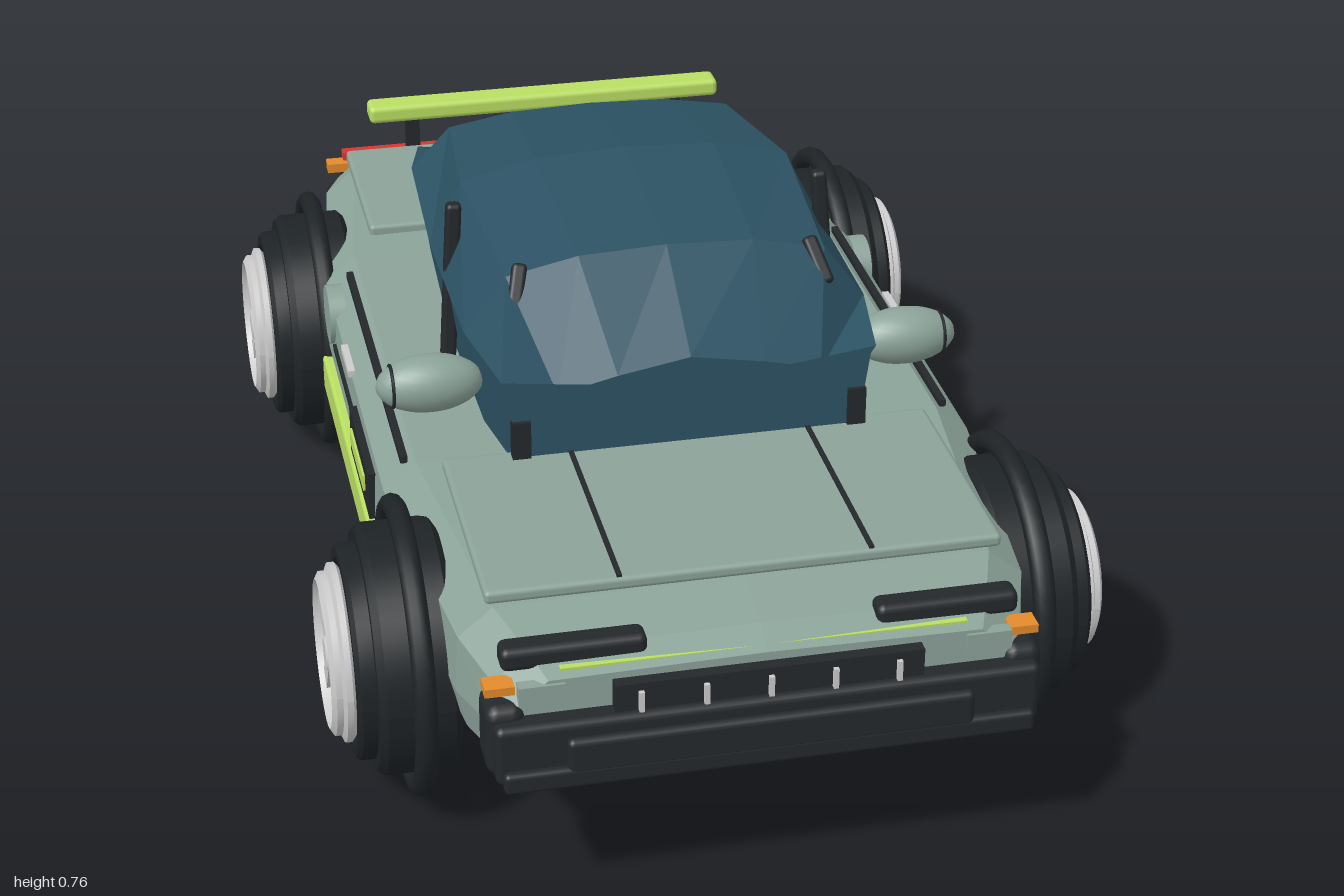
import * as THREE from 'three';
import { RoundedBoxGeometry } from 'three/addons/geometries/RoundedBoxGeometry.js';

const mat = (color, flatShading = false) => new THREE.MeshStandardMaterial({ color, flatShading });
const PAINT = mat(0x8ba399), FLAT_PAINT = mat(0x8ba399, true), GLASS = mat(0x2c5263, true);
const DARK = mat(0x24282b), TYRE = mat(0x1e2326), LIME = mat(0xb9dd62);
const RED = mat(0xd9362f), ORANGE = mat(0xe38a2c), SILVER = mat(0xcccccc);

export function createModel() {
  const car = new THREE.Group();
  car.name = 'car';

  const add = (name, geometry, material, x = 0, y = 0, z = 0, parent = car) => {
    const m = new THREE.Mesh(geometry, material);
    m.name = name;
    m.position.set(x, y, z);
    parent.add(m);
    return m;
  };
  const box = (name, w, h, d, material, x, y, z, parent) =>
    add(name, new THREE.BoxGeometry(w, h, d), material, x, y, z, parent);
  const round = (name, w, h, d, r, material, x, y, z) =>
    add(name, new RoundedBoxGeometry(w, h, d, 2, r), material, x, y, z);
  const sides = (fn) => [1, -1].forEach(fn);

  // Body shell: tapered plan, chamfered shoulders
  const bodySection = ([z, w, top]) => ring(z, [
    [w - 0.09, 0.21], [w - 0.015, 0.235], [w, 0.3], [w - 0.005, top - 0.05], [w - 0.06, top - 0.005], [0, top],
  ]);
  add('body', loft([
    [-0.95, 0.39, 0.41], [-0.9, 0.41, 0.425], [-0.8, 0.445, 0.44], [-0.4, 0.495, 0.45],
    [0.36, 0.495, 0.45], [0.8, 0.445, 0.445], [0.9, 0.41, 0.425], [0.95, 0.39, 0.405],
  ].map(bodySection)), FLAT_PAINT);

  // Cabin: flared belt line and faceted roof
  const cabinSection = ([z, belt, roof, h, dip]) => ring(z, [
    [belt - 0.03, 0.44], [belt - 0.008, 0.6], [belt, 0.612],
    [roof, 0.612 + (h - 0.612) * 0.75 - dip], [roof * 0.55, 0.612 + (h - 0.612) * 0.95 - dip / 2], [0, h],
  ]);
  add('cabin', loft([
    [-0.49, 0.3, 0.23, 0.625, 0.03], [-0.4, 0.325, 0.255, 0.71, 0], [-0.08, 0.34, 0.285, 0.765, 0],
    [0.25, 0.335, 0.265, 0.738, 0], [0.43, 0.305, 0.215, 0.625, 0.04],
  ].map(cabinSection)), GLASS);

  // Hood, boot lid and hood seams
  round('hood', 0.8, 0.022, 0.41, 0.008, PAINT, 0, 0.464, 0.61);
  round('bootLid', 0.79, 0.025, 0.35, 0.008, PAINT, 0, 0.449, -0.66);
  sides((s) => box('hoodSeam', 0.008, 0.004, 0.38, DARK, s * 0.195, 0.476, 0.62));

  // Front bumper, grille and lights
  round('frontBumper', 0.83, 0.1, 0.08, 0.012, DARK, 0, 0.295, 0.945);
  round('frontLip', 0.81, 0.035, 0.09, 0.008, DARK, 0, 0.255, 0.953);
  round('bumperPad', 0.62, 0.06, 0.05, 0.01, DARK, 0, 0.29, 0.973);
  box('grille', 0.47, 0.065, 0.04, DARK, 0, 0.358, 0.95);
  for (let i = -2; i <= 2; i++) box('grilleBar', 0.008, 0.05, 0.012, SILVER, i * 0.098, 0.353, 0.971);
  box('frontStrip', 0.62, 0.014, 0.024, LIME, 0, 0.403, 0.925);
  sides((s) => {
    round('bumperCorner', 0.06, 0.12, 0.085, 0.02, DARK, s * 0.395, 0.305, 0.92);
    round('headlight', 0.22, 0.038, 0.045, 0.012, DARK, s * 0.285, 0.42, 0.9);
    box('trimBar', 0.07, 0.03, 0.02, PAINT, s * 0.34, 0.38, 0.945);
    box('frontSignal', 0.045, 0.014, 0.035, ORANGE, s * 0.4, 0.381, 0.92);
  });

  // Rear bumper, lights and exhausts
  round('rearBumper', 0.73, 0.05, 0.06, 0.012, DARK, 0, 0.265, -0.965);
  box('rearPanel', 0.36, 0.075, 0.03, DARK, 0, 0.34, -0.95);
  box('lightBar', 0.78, 0.022, 0.025, RED, 0, 0.398, -0.947);
  box('lightTrim', 0.8, 0.014, 0.03, DARK, 0, 0.378, -0.94);
  sides((s) => {
    round('rearCorner', 0.085, 0.1, 0.08, 0.025, DARK, s * 0.385, 0.305, -0.91);
    box('rearSignal', 0.045, 0.018, 0.03, ORANGE, s * 0.4, 0.385, -0.935);
    const pipe = add('exhaust', new THREE.CylinderGeometry(0.032, 0.032, 0.05, 20), SILVER, s * 0.235, 0.272, -0.974);
    pipe.rotation.x = Math.PI / 2;
  });

  // Rear wing
  round('wing', 0.69, 0.034, 0.055, 0.01, LIME, 0, 0.527, -0.86);
  sides((s) => box('wingPost', 0.025, 0.09, 0.03, DARK, s * 0.26, 0.47, -0.86));

  // Flank details, mirrors and pillars
  sides((s) => {
    round('sill', 0.04, 0.07, 0.7, 0.008, LIME, s * 0.488, 0.245, 0);
    box('sideVent', 0.02, 0.085, 0.235, DARK, s * 0.494, 0.335, 0.15);
    box('ventInsert', 0.012, 0.028, 0.165, LIME, s * 0.502, 0.338, 0.145);
    box('sideGroove', 0.012, 0.01, 0.27, DARK, s * 0.492, 0.348, -0.11);
    box('sideTrim', 0.012, 0.012, 0.68, DARK, s * 0.452, 0.44, 0);
    box('doorHandle', 0.012, 0.012, 0.1, SILVER, s * 0.49, 0.405, -0.08);
    const cap = add('fuelCap', new THREE.CylinderGeometry(0.053, 0.053, 0.03, 28), PAINT, s * 0.485, 0.385, -0.3);
    cap.rotation.z = Math.PI / 2;

    const mirror = add('mirror', new THREE.SphereGeometry(1, 24, 16), PAINT, s * 0.398, 0.543, 0.278);
    mirror.scale.set(0.088, 0.048, 0.048);
    const band = add('mirrorBand', new THREE.TorusGeometry(0.034, 0.003, 6, 24), DARK, s * 0.46, 0.543, 0.278);
    band.rotation.y = Math.PI / 2;

    const pillar = round('doorPillar', 0.026, 0.28, 0.026, 0.008, DARK, s * 0.323, 0.6, 0.035);
    pillar.rotation.set(-0.06, 0, s * 0.07);
    const post = round('windscreenPost', 0.025, 0.085, 0.025, 0.008, DARK, s * 0.25, 0.69, 0.265);
    post.rotation.set(-0.7, 0, s * 0.25);
    sides((e) => box('cabinFoot', 0.03, 0.1, 0.02, DARK, s * 0.275, 0.49, e > 0 ? 0.427 : -0.482));
  });

  // Wheels
  const tyreProfile = [
    [0, 0.43], [0.19, 0.43], [0.2, 0.44], [0.2, 0.545], [0.19, 0.557], [0.172, 0.557],
    [0.172, 0.58], [0.165, 0.587], [0.148, 0.587], [0.14, 0.575], [0, 0.575],
  ];
  const rimProfile = [[0.122, 0.575], [0.142, 0.59], [0.142, 0.6], [0.13, 0.605], [0.13, 0.615], [0.118, 0.622], [0.11, 0.605], [0.11, 0.575]];
  sides((s) => [0.57, -0.57].forEach((z) => {
    const wheel = new THREE.Group();
    wheel.name = z > 0 ? 'frontWheel' : 'rearWheel';
    wheel.position.set(0, 0.24, z);
    car.add(wheel);
    const spin = (name, profile, material) => {
      const m = add(name, creasedLathe(profile), material, 0, 0, 0, wheel);
      m.rotation.z = -s * Math.PI / 2;
    };
    spin('tyre', tyreProfile, TYRE);
    spin('rim', rimProfile, SILVER);
    spin('hub', [[0, 0.57], [0.034, 0.57], [0.034, 0.61], [0.024, 0.618], [0, 0.618]], SILVER);
    spin('brakeDisc', [[0, 0.57], [0.1, 0.57], [0.1, 0.584], [0, 0.584]], SILVER);
    const band = add('tyreBand', new THREE.TorusGeometry(0.222, 0.018, 10, 48), TYRE, s * 0.49, 0, 0, wheel);
    band.rotation.y = Math.PI / 2;
    // Spokes
    for (let i = 0; i < 5; i++) {
      const a = Math.PI / 2 + i * Math.PI * 2 / 5;
      const spoke = box('spoke', 0.02, 0.034, 0.1, SILVER, s * 0.603, Math.sin(a) * 0.07, Math.cos(a) * 0.07, wheel);
      spoke.rotation.x = -a;
    }
    // Brake caliper, always towards the front
    const arc = new THREE.Shape();
    arc.absarc(0, 0, 0.123, 0.2, 1.0, false);
    arc.absarc(0, 0, 0.065, 1.0, 0.2, true);
    const caliper = add('brakeCaliper',
      new THREE.ExtrudeGeometry(arc, { depth: 0.025, bevelEnabled: false, curveSegments: 8 }).rotateY(-Math.PI / 2),
      RED, s > 0 ? 0.612 : -0.587, 0, 0, wheel);
    caliper.updateMatrix();
  }));

  return car;
}

// Mirrors a right-hand half outline (bottom to top centre) into a closed ring
function ring(z, half) {
  const left = half.slice(0, -1).reverse().map(([x, y]) => [-x, y]);
  return [...half, ...left].map(([x, y]) => new THREE.Vector3(x, y, z));
}

// Skins rings ordered from back to front and caps both ends
function loft(rings) {
  const pts = [], n = rings[0].length;
  for (let i = 0; i < rings.length - 1; i++) {
    for (let j = 0; j < n; j++) {
      const k = (j + 1) % n, [p, q] = [rings[i], rings[i + 1]];
      pts.push(p[j], p[k], q[k], p[j], q[k], q[j]);
    }
  }
  const cap = (r, flip) => {
    const c = r.reduce((t, v) => t.add(v), new THREE.Vector3()).divideScalar(n);
    r.forEach((v, j) => pts.push(c, ...(flip ? [r[(j + 1) % n], v] : [v, r[(j + 1) % n]])));
  };
  cap(rings[0], true);
  cap(rings[rings.length - 1], false);
  const g = new THREE.BufferGeometry().setFromPoints(pts);
  g.computeVertexNormals();
  return g;
}

// Lathe with sharp profile corners: each point is doubled
function creasedLathe(profile) {
  const pts = profile.flatMap(([r, y]) => [new THREE.Vector2(r, y), new THREE.Vector2(r, y)]).slice(1, -1);
  const g = new THREE.LatheGeometry(pts, 40);
  g.computeVertexNormals();
  return g;
}
